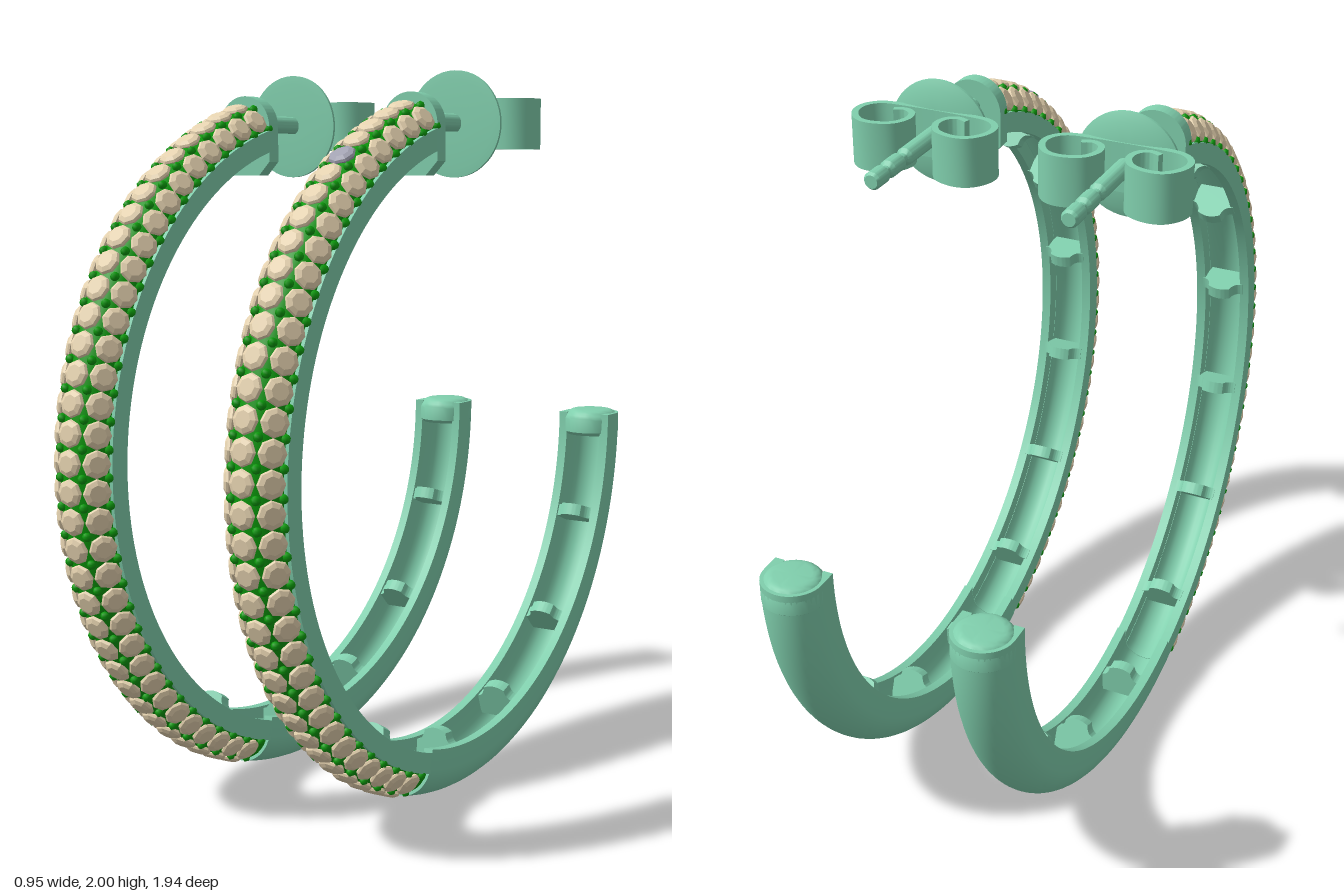
import * as THREE from 'three';
import { mergeGeometries, toCreasedNormals } from 'three/addons/utils/BufferGeometryUtils.js';

const RAD = Math.PI / 180;
const HOOP_Y = 0.97;   // height of the hoop centre
const MID = 0.885;     // radius of the tube centre line
const POST_Y = 1.86;

const metal = new THREE.MeshStandardMaterial({ color: 0x80cfad, side: THREE.DoubleSide });
const green = new THREE.MeshStandardMaterial({ color: 0x0a9a0a, side: THREE.DoubleSide });
const cream = new THREE.MeshStandardMaterial({ color: 0xe6d3b0, flatShading: true });
const grey = new THREE.MeshStandardMaterial({ color: 0xa3a3b3, flatShading: true });

const V = (x, y) => new THREE.Vector2(x, y);
const crease = (g) => toCreasedNormals(g, 35 * RAD);

function part(name, geometry, material, parent) {
  const mesh = new THREE.Mesh(geometry, material);
  mesh.name = name;
  parent.add(mesh);
  return mesh;
}

// Sweep a closed (radius, width) section round the hoop, angles in degrees from +z
function sweep(points, a0, a1) {
  const section = [...points, points[0].clone()];
  const body = new THREE.LatheGeometry(section, 72, a0 * RAD, (a1 - a0) * RAD);
  const caps = [a0, a1].map((a) =>
    new THREE.ShapeGeometry(new THREE.Shape(points)).rotateY(a * RAD - Math.PI / 2));
  return crease(mergeGeometries([body, ...caps].map((g) => g.toNonIndexed())).rotateZ(Math.PI / 2));
}

// Half-round arc of a section, from -x to +x or back
function arc(radius, steps, dir = 1) {
  return Array.from({ length: steps + 1 }, (_, i) => {
    const t = dir * (-Math.PI / 2 + (Math.PI * i) / steps);
    return V(MID + radius * Math.cos(t), radius * Math.sin(t));
  });
}

// Move a geometry onto the hoop: local z becomes the outward direction
const onHoop = (g, a) => g.clone().rotateX(-a * RAD);

// Lathe turned so that its axis runs along +z
const turned = (pts, seg) =>
  new THREE.LatheGeometry(pts.map(([r, h]) => V(r, h)), seg).rotateX(Math.PI / 2);

// Flat strip of even thickness following a curve, extruded upwards
function ribbon(pts, thickness, height) {
  const curve = new THREE.SplineCurve(pts.map(([x, z]) => V(x, z)));
  const outer = [], inner = [];
  for (let i = 0; i <= 48; i++) {
    const p = curve.getPoint(i / 48), t = curve.getTangent(i / 48);
    const n = V(-t.y, t.x).multiplyScalar(thickness / 2);
    outer.push(p.clone().add(n));
    inner.unshift(p.clone().sub(n));
  }
  const shape = new THREE.Shape([...outer, ...inner]);
  const g = new THREE.ExtrudeGeometry(shape, { depth: height, bevelEnabled: false });
  return crease(g.rotateX(Math.PI / 2).translate(0, height / 2, 0));
}

function buildHoop(parent) {
  const hoop = new THREE.Group();
  hoop.name = 'hoop';
  hoop.position.y = HOOP_Y;
  parent.add(hoop);

  // Plain back half: U-shaped channel open to the inside
  const channel = [V(0.83, -0.085), ...arc(0.085, 20), V(0.83, 0.085),
    V(0.83, 0.058), ...arc(0.058, 12, -1), V(0.83, -0.058)];
  part('plainHalf', sweep(channel, -180, -74), metal, hoop);

  // Jewelled front half: metal rails under a green dome
  for (const s of [-1, 1]) {
    const rail = [V(0.84, s * 0.071 - 0.014), V(0.897, s * 0.071 - 0.014),
      V(0.897, s * 0.071 + 0.014), V(0.84, s * 0.071 + 0.014)];
    part('rail', sweep(rail, -74.5, 77.5), metal, hoop);
  }
  part('channelFloor', sweep([...arc(0.062, 12), ...arc(0.056, 12, -1)], -74.5, 77.5), metal, hoop);
  part('stoneBed', sweep([...arc(0.076, 16), ...arc(0.06, 16, -1)], -74, 77), green, hoop);

  // Cross ribs inside the channel
  const ribShape = new THREE.Shape();
  ribShape.moveTo(-0.065, 0.9).lineTo(0.065, 0.9).lineTo(0.065, 0.838);
  ribShape.quadraticCurveTo(0.038, 0.838, 0.034, 0.806).quadraticCurveTo(0, 0.786, -0.034, 0.806);
  ribShape.quadraticCurveTo(-0.038, 0.838, -0.065, 0.838);
  const rib = crease(new THREE.ExtrudeGeometry(ribShape, { depth: 0.036, bevelEnabled: false })
    .rotateX(Math.PI / 2).translate(0, 0.018, 0));
  for (let i = 0; i < 10; i++) part('rib', onHoop(rib, 59 - 24.15 * i), metal, hoop);

  // Rounded solid tip
  const tip = [V(0, -0.07), V(0.075, -0.07), V(0.085, -0.06), V(0.085, -0.02)];
  for (let i = 1; i <= 6; i++) {
    const t = (i / 6) * Math.PI / 2;
    tip.push(V(0.05 + 0.035 * Math.cos(t), -0.025 + 0.035 * Math.sin(t)));
  }
  tip.push(V(0, 0.01));
  part('tip', crease(new THREE.LatheGeometry(tip, 32)), metal, hoop).position.z = -MID;
  return hoop;
}

// Three rows of faceted stones with prongs between them
function buildStones(hoop, greyRow) {
  const stone = turned([[0.03, -0.012], [0.037, 0], [0.034, 0.006], [0.022, 0.012], [0, 0.012]], 8);
  const prong = new THREE.SphereGeometry(0.0125, 6, 5);
  const place = (g, across, height, a) =>
    onHoop(g.clone().translate(0, 0, height).rotateY(across * RAD).translate(0, 0, MID), a);
  const stones = [], prongs = [];
  for (let i = 0; i <= 33; i++) {
    const a = 74 - 4.5 * i;
    for (const b of [-78, -27, 27, 78]) prongs.push(place(prong, b, 0.079, a + 2.25));
    if (i === 33) break;
    for (const b of [-54, 0, 54]) {
      const g = place(stone, b, 0.077, a);
      if (b === 0 && i === greyRow) part('greyStone', g, grey, hoop);
      else stones.push(g);
    }
  }
  part('stones', mergeGeometries(stones), cream, hoop);
  part('prongs', mergeGeometries(prongs), green, hoop);
}

function buildPost(parent) {
  // End plate closing the top of the hoop
  const plate = new THREE.Shape();
  plate.moveTo(-0.05, 1.718).lineTo(0.05, 1.718).lineTo(0.085, 1.755).lineTo(0.085, 1.85);
  plate.absarc(0, 1.85, 0.085, 0, Math.PI, false);
  plate.lineTo(-0.085, 1.755);
  part('endPlate', crease(new THREE.ExtrudeGeometry(plate,
    { depth: 0.042, bevelEnabled: false, curveSegments: 24 })), metal, parent).position.z = 0.18;

  // Ear post with two grooves near its end
  const post = turned([[0, -0.392], [0.018, -0.392], [0.024, -0.384], [0.024, -0.335], [0.014, -0.325],
    [0.014, -0.312], [0.024, -0.302], [0.024, -0.25], [0.014, -0.24], [0.014, -0.222],
    [0.024, -0.212], [0.024, 0.19]], 20);
  part('post', crease(post), metal, parent).position.y = POST_Y;
}

function buildClutch(parent) {
  const clutch = new THREE.Group();
  clutch.name = 'clutch';
  clutch.position.y = 1.856;
  parent.add(clutch);

  // Shallow round disc
  part('clutchDisc', crease(turned([[0.024, -0.036], [0.07, -0.033], [0.12, -0.024], [0.144, -0.014],
    [0.144, -0.006], [0.12, -0.004], [0.024, -0.004]], 48)), metal, clutch);

  // Two curled wings gripping the post
  for (const s of [-1, 1]) {
    const path = [[0, -0.028], [0.08, -0.03], [0.155, -0.038], [0.192, -0.075], [0.192, -0.125],
      [0.16, -0.168], [0.115, -0.177], [0.065, -0.158], [0.042, -0.115], [0.05, -0.075],
      [0.078, -0.058], [0.108, -0.068]];
    part('clutchWing', ribbon(path.map(([x, z]) => [s * x, z]), 0.018, 0.135), metal, clutch);
  }
}

export function createModel() {
  const model = new THREE.Group();
  model.name = 'hoopEarrings';
  for (const s of [-1, 1]) {
    const earring = new THREE.Group();
    earring.name = s > 0 ? 'leftEarring' : 'rightEarring';
    earring.position.x = s * 0.27;
    buildStones(buildHoop(earring), s > 0 ? 4 : -1);
    buildPost(earring);
    buildClutch(earring);
    model.add(earring);
  }
  return model;
}
